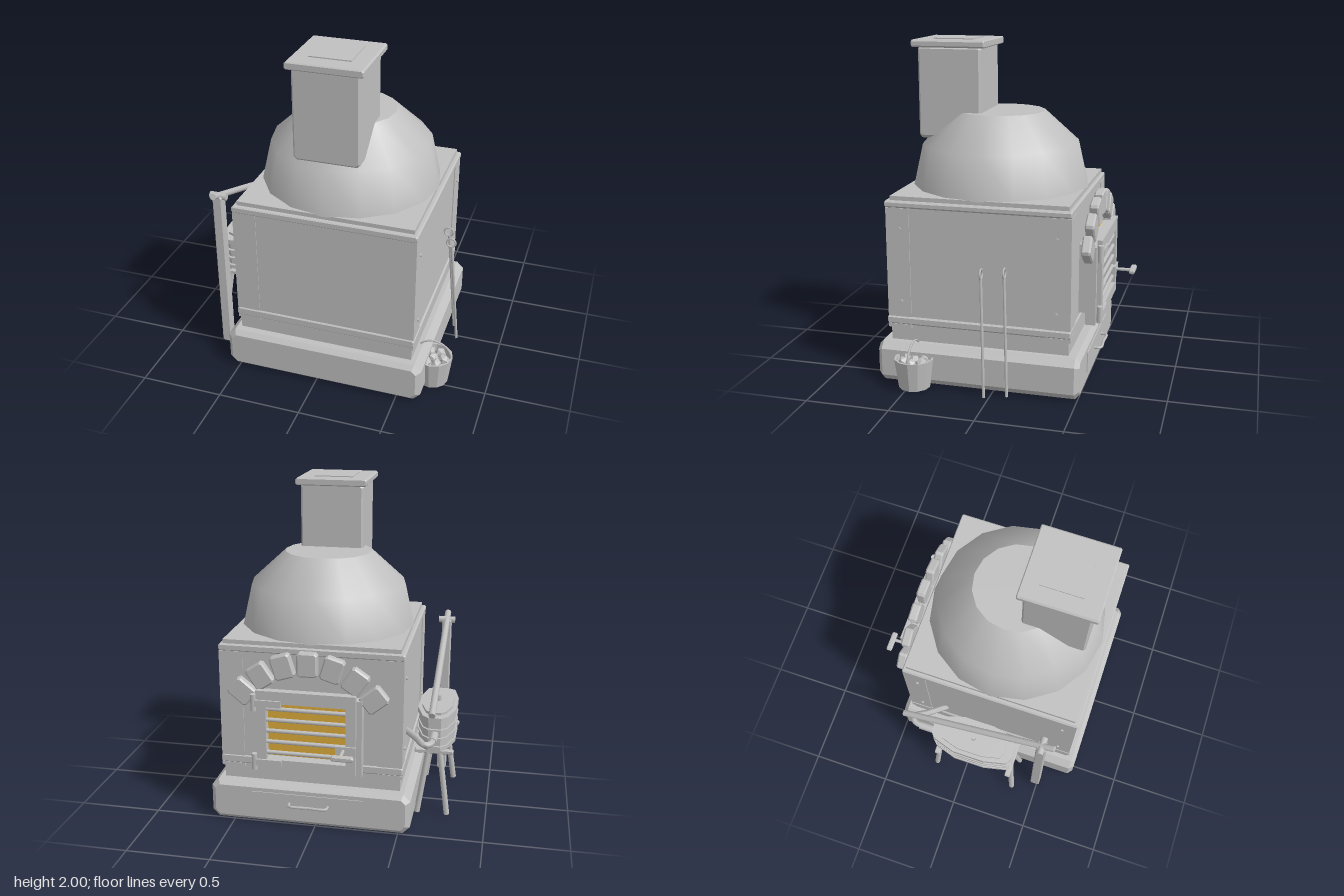
import * as THREE from 'three';

export function createModel() {
  const root = new THREE.Group();
  const grey = new THREE.MeshStandardMaterial({ color: 0xc0c0c0, side: THREE.DoubleSide });
  grey.name = 'stoneGrey';
  const gold = new THREE.MeshStandardMaterial({ color: 0xe0ae3c });
  gold.name = 'emberGold';
  const CX = 0.037, CZ = 0.1; // axis of the furnace

  const add = (name, geo, mat = grey, parent = root) => {
    const m = new THREE.Mesh(geo, mat);
    m.name = name;
    parent.add(m);
    return m;
  };
  // Box from its limits
  const box = (name, x0, x1, y0, y1, z0, z1, mat = grey) => {
    const m = add(name, new THREE.BoxGeometry(x1 - x0, y1 - y0, z1 - z0), mat);
    m.position.set((x0 + x1) / 2, (y0 + y1) / 2, (z0 + z1) / 2);
    return m;
  };
  // Box with every edge chamfered by c, from its limits
  const chamferGeo = (w, h, d, c) => {
    const a = w / 2 - c, b = h / 2 - c;
    const s = new THREE.Shape([[-a, -b + c], [-a + c, -b], [a - c, -b], [a, -b + c],
      [a, b - c], [a - c, b], [-a + c, b], [-a, b - c]].map(p => new THREE.Vector2(...p)));
    const g = new THREE.ExtrudeGeometry(s, { depth: d - 2 * c, bevelEnabled: true,
      bevelThickness: c, bevelSize: c, bevelSegments: 1 });
    return g.translate(0, 0, -d / 2 + c);
  };
  const cbox = (name, x0, x1, y0, y1, z0, z1, c) => {
    const m = add(name, chamferGeo(x1 - x0, y1 - y0, z1 - z0, c));
    m.position.set((x0 + x1) / 2, (y0 + y1) / 2, (z0 + z1) / 2);
    return m;
  };
  // Round rod between two points
  const rod = (name, a, b, r, sides = 8) => {
    const p = new THREE.Vector3(...a), q = new THREE.Vector3(...b);
    const m = add(name, new THREE.CylinderGeometry(r, r, p.distanceTo(q), sides));
    m.position.copy(p).lerp(q, 0.5);
    m.quaternion.setFromUnitVectors(new THREE.Vector3(0, 1, 0), q.sub(p).normalize());
    return m;
  };
  const tube = (name, pts, r) => add(name, new THREE.TubeGeometry(
    new THREE.CatmullRomCurve3(pts.map(p => new THREE.Vector3(...p))), 16, r, 6));

  // Stepped masonry body
  cbox('base', -0.57, 0.645, 0, 0.25, -0.51, 0.705, 0.027);
  box('plinth', -0.5, 0.573, 0.25, 0.36, -0.436, 0.636);
  box('body', -0.505, 0.58, 0.36, 1.06, -0.442, 0.645);
  cbox('lowerBand', -0.515, 0.59, 0.35, 0.4, -0.45, 0.655, 0.006);
  cbox('upperBand', -0.515, 0.59, 1.06, 1.1, -0.45, 0.655, 0.006);
  box('roofSlab', -0.49, 0.565, 1.1, 1.125, -0.43, 0.628);

  // Angle irons, feet and rivets at the four corners
  for (const sx of [-1, 1]) for (const sz of [-1, 1]) {
    const x = CX + sx * 0.549, z = CZ + sz * 0.549;
    const ix = x - sx * 0.142, iz = z - sz * 0.142;
    const lim = (a, b) => [Math.min(a, b), Math.max(a, b)];
    box('cornerPlateX', ...lim(x, ix), 0.4, 1.06, ...lim(z, z - sz * 0.01));
    box('cornerPlateZ', ...lim(x, x - sx * 0.01), 0.4, 1.06, ...lim(z, iz));
    box('cornerFootX', ...lim(x, ix), 0.33, 0.352, ...lim(z, z - sz * 0.04));
    box('cornerFootZ', ...lim(x, x - sx * 0.04), 0.33, 0.352, ...lim(z, iz));
    for (const y of [0.495, 0.935])
      rod('rivet', [x - sx * 0.01, y, CZ + sz * 0.465], [x + sx * 0.009, y, CZ + sz * 0.465], 0.011);
  }

  // Faceted-profile dome with flat crown
  const dome = add('dome', new THREE.LatheGeometry(
    [[0.537, 1.12], [0.479, 1.375], [0.267, 1.57]].map(p => new THREE.Vector2(...p)), 16));
  dome.position.set(CX, 0, CZ);
  const crown = add('domeCrown', new THREE.CircleGeometry(0.267, 16).rotateX(-Math.PI / 2));
  crown.position.set(CX, 1.57, CZ);

  // Chimney
  cbox('chimney', -0.16, 0.23, 1.41, 1.96, 0.175, 0.56, 0.012);
  cbox('chimneyCap', -0.185, 0.257, 1.95, 1.994, 0.145, 0.592, 0.006);
  box('chimneyLid', -0.085, 0.157, 1.99, 2, 0.24, 0.483);

  // Furnace mouth, glow and door frame
  box('mouthBlock', -0.24, 0.314, 0.42, 0.84, -0.482, -0.44);
  box('glow', -0.24, 0.314, 0.42, 0.835, -0.49, -0.482, gold);
  const ring = (name, hw, y0, y1, iw, j0, j1, z, d) => {
    const rect = (C, w, a, b) => new C([[-w, a], [w, a], [w, b], [-w, b]].map(p => new THREE.Vector2(...p)));
    const s = rect(THREE.Shape, hw, y0, y1);
    s.holes.push(rect(THREE.Path, iw, j0, j1));
    add(name, new THREE.ExtrudeGeometry(s, { depth: d, bevelEnabled: false })).position.set(CX, 0, z);
  };
  ring('doorFrame', 0.325, 0.365, 0.84, 0.245, 0.44, 0.8, -0.552, 0.062);
  ring('doorLeaf', 0.293, 0.385, 0.875, 0.235, 0.45, 0.8, -0.58, 0.03);
  for (let i = 0; i < 5; i++) {
    const y = 0.49 + i * 0.068;
    rod('grateBar', [CX - 0.25, y, -0.56], [CX + 0.25, y, -0.56], 0.013);
  }
  for (const y of [0.43, 0.8]) {
    box('hingeStrap', 0.18, 0.335, y - 0.02, y + 0.02, -0.592, -0.575);
    rod('hingePin', [0.345, y - 0.05, -0.575], [0.345, y + 0.05, -0.575], 0.018);
  }
  box('latchPlate', -0.26, -0.14, 0.52, 0.57, -0.59, -0.575);
  rod('doorHandleStem', [-0.185, 0.545, -0.575], [-0.185, 0.545, -0.69], 0.011);
  cbox('doorHandle', -0.265, -0.135, 0.53, 0.56, -0.71, -0.675, 0.006);

  // Arch of seven stones
  for (let i = -3; i <= 3; i++) {
    const a = i * 0.297;
    const s = add('archStone', chamferGeo(0.122, 0.145, 0.056, 0.009));
    s.position.set(CX + Math.sin(a) * 0.5, 0.53 + Math.cos(a) * 0.5, -0.513);
    s.rotation.z = -a;
  }

  // Ash drawer
  box('drawerFront', -0.29, 0.385, 0.075, 0.2, -0.516, -0.505);
  tube('drawerHandle', [[-0.08, 0.14, -0.51], [-0.075, 0.14, -0.55], [0.037, 0.14, -0.553],
    [0.15, 0.14, -0.55], [0.155, 0.14, -0.51]], 0.009);

  // Bellows: pleated layers on an elongated outline
  const BX = -0.672, BZ = 0.05;
  const layer = (name, y0, y1, k) => {
    const s = new THREE.Shape([[-0.04, -0.265], [0.04, -0.265], [0.085, -0.245], [0.117, -0.1], [0.117, 0.1],
      [0.075, 0.235], [0.04, 0.27], [-0.04, 0.27], [-0.075, 0.235], [-0.117, 0.1], [-0.117, -0.1],
      [-0.085, -0.245]].map(p => new THREE.Vector2(p[0] * k, p[1] * k)));
    add(name, new THREE.ExtrudeGeometry(s, { depth: y1 - y0, bevelEnabled: false })
      .rotateX(-Math.PI / 2)).position.set(BX, y0, BZ);
  };
  layer('bellowsBottom', 0.43, 0.455, 1);
  for (let i = 0; i < 3; i++) {
    layer('bellowsPleat', 0.455 + i * 0.055, 0.5 + i * 0.055, 0.94);
    layer('bellowsRib', 0.5 + i * 0.055, 0.51 + i * 0.055, 1);
  }
  layer('bellowsTop', 0.62, 0.64, 1);
  layer('bellowsTopCrown', 0.64, 0.655, 0.8);
  rod('bellowsKnob', [BX, 0.65, BZ], [BX, 0.69, BZ], 0.016);

  // Trestle under the bellows
  for (const [z, s] of [[-0.17, -1], [0.31, 1]]) {
    cbox('trestleBar', BX - 0.118, BX + 0.118, 0.395, 0.42, z - 0.017, z + 0.017, 0.004);
    for (const sx of [-1, 1])
      rod('trestleLeg', [BX + sx * 0.035, 0.41, z], [BX + sx * 0.092, 0.005, z + s * 0.03], 0.018);
  }
  for (const sx of [-1, 1]) box('trestleRail', BX + sx * 0.05 - 0.015, BX + sx * 0.05 + 0.015, 0.41, 0.432, -0.17, 0.31);

  // Air nozzle into the furnace wall
  rod('nozzleCollar', [BX, 0.53, -0.2], [BX, 0.53, -0.32], 0.026);
  tube('nozzle', [[BX, 0.53, -0.3], [BX + 0.01, 0.53, -0.36], [-0.63, 0.53, -0.375],
    [-0.58, 0.535, -0.3], [-0.5, 0.54, -0.19]], 0.021);

  // Pump post and sloping lever
  cbox('leverPost', BX - 0.03, BX + 0.03, 0.005, 1.06, 0.455, 0.515, 0.006);
  rod('leverPivot', [BX - 0.052, 1.055, 0.485], [BX + 0.052, 1.055, 0.485], 0.022);
  rod('lever', [BX, 1.085, 0.56], [BX, 0.73, -0.41], 0.02);

  // Two pokers leaning on the wall
  for (const [x, z] of [[0.615, -0.07], [0.658, 0.055]]) {
    rod('pokerRod', [x + 0.005, 0.7, z], [x + 0.063, 0.005, z - 0.028], 0.009, 6);
    const r = add('pokerRing', new THREE.TorusGeometry(0.028, 0.006, 6, 14));
    r.position.set(x, 0.727, z);
  }

  // Coal bucket with bail handle
  const bucket = new THREE.Group();
  bucket.name = 'coalBucket';
  bucket.position.set(0.668, 0, 0.465);
  root.add(bucket);
  add('bucketWall', new THREE.LatheGeometry([[0, 0.008], [0.094, 0.008], [0.117, 0.185], [0.106, 0.185],
    [0.1, 0.14], [0, 0.14]].map(p => new THREE.Vector2(...p)), 12).toNonIndexed(), grey, bucket)
    .geometry.computeVertexNormals();
  add('bucketHandle', new THREE.TorusGeometry(0.108, 0.006, 6, 16, Math.PI), grey, bucket).position.y = 0.178;
  for (let i = 0; i < 7; i++) {
    const c = add('coal', new THREE.IcosahedronGeometry(0.034, 0), grey, bucket), a = i * Math.PI / 3;
    const d = i < 6 ? 0.062 : 0;
    c.position.set(Math.cos(a) * d, 0.165, Math.sin(a) * d);
    c.rotation.set(i, i * 2, 0);
  }
  return root;
}
